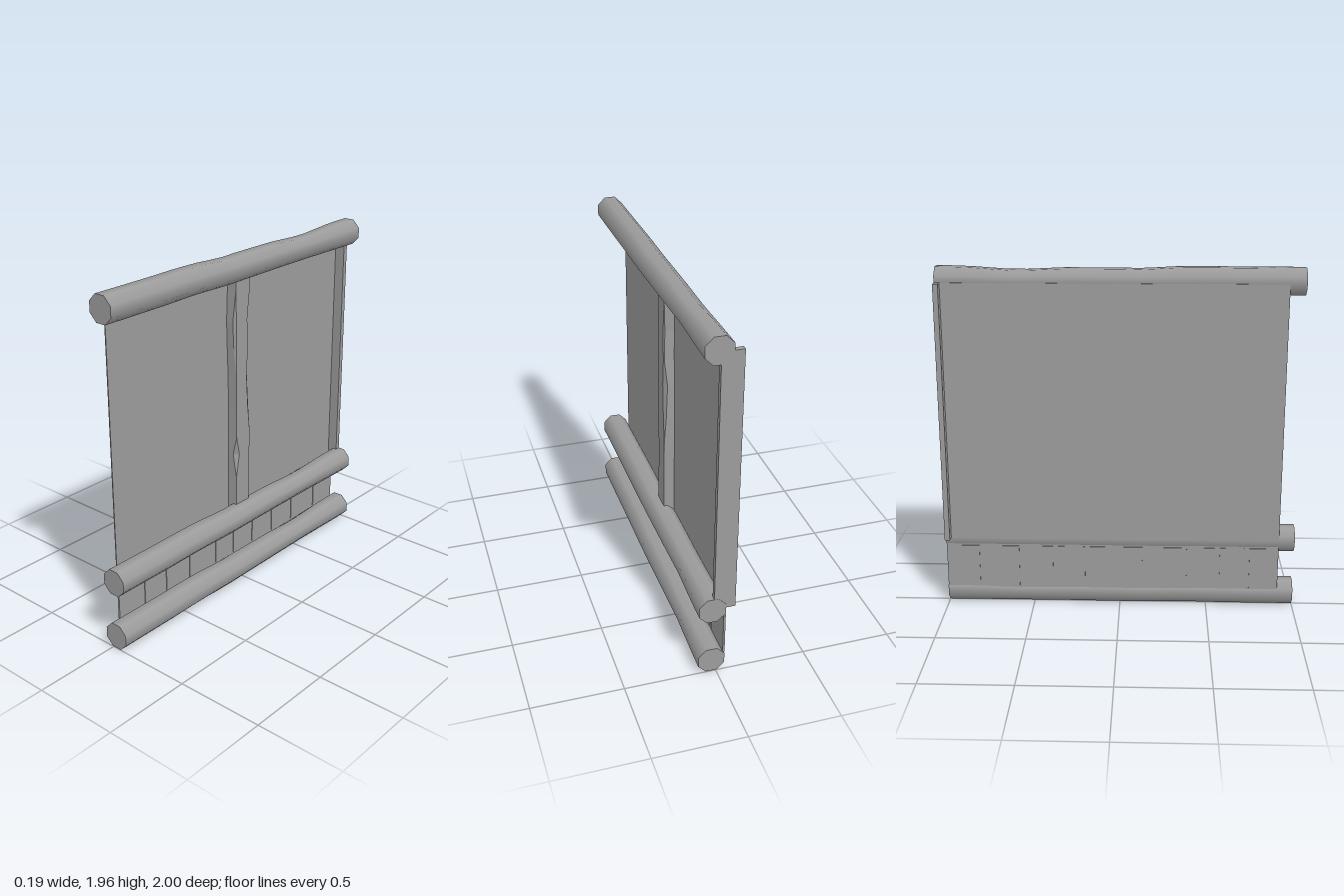
import * as THREE from 'three';

const material = new THREE.MeshStandardMaterial({ color: 0x9c9c9c });
const flatMaterial = new THREE.MeshStandardMaterial({ color: 0x9c9c9c, flatShading: true });

function addBox(parent, name, x0, x1, y0, y1, z0, z1) {
  const mesh = new THREE.Mesh(new THREE.BoxGeometry(x1 - x0, y1 - y0, z1 - z0), material);
  mesh.position.set((x0 + x1) / 2, (y0 + y1) / 2, (z0 + z1) / 2);
  mesh.name = name;
  parent.add(mesh);
}

// Linear interpolation through [z, value] keys sorted by z
function sample(keys, z) {
  for (let i = 1; i < keys.length; i++) {
    const [a, va] = keys[i - 1], [b, vb] = keys[i];
    if (z <= b) return THREE.MathUtils.mapLinear(z, a, b, va, vb);
  }
  return keys[keys.length - 1][1];
}

// Eight-sided log along z with a gently uneven surface
const LOG_TOP = [[-1, 0], [-0.85, -0.001], [-0.56, -0.02], [-0.3, -0.008], [0, -0.008], [0.12, -0.011], [0.3, 0], [0.45, 0.003], [0.65, 0], [1, 0]];
const LOG_BOTTOM = [[-1, 0], [-0.3, 0.001], [0, -0.001], [0.13, -0.003], [0.35, 0.004], [0.6, 0], [1, 0]];
const LOG_SIDE = [[-1, 0], [-0.85, -0.002], [-0.6, -0.009], [-0.3, -0.004], [0, -0.001], [0.3, 0], [1, 0]];
const LOG_HALF = 0.072;

function logGeometry() {
  const r = LOG_HALF / Math.cos(Math.PI / 8);
  const geometry = new THREE.CylinderGeometry(r, r, 2, 8, 20);
  geometry.rotateY(Math.PI / 8).rotateX(Math.PI / 2);
  const p = geometry.attributes.position;
  for (let i = 0; i < p.count; i++) {
    const x = p.getX(i), y = p.getY(i), z = p.getZ(i);
    const up = Math.max(0, y / LOG_HALF), down = Math.max(0, -y / LOG_HALF);
    p.setY(i, y + up * sample(LOG_TOP, z) + down * sample(LOG_BOTTOM, z));
    p.setX(i, x + Math.max(0, x / LOG_HALF) * sample(LOG_SIDE, z));
  }
  return geometry;
}

// Hewn upright lofted from sections whose two outer corners are chipped
function uprightGeometry() {
  const back = -0.046, front = 0.017;
  // y, left z, left chip depth and width, right z, right chip depth and width
  const sections = [
    [0.40, 0.013, 0, 0, -0.1, 0, 0],
    [0.64, 0.01, 0, 0, -0.1, 0, 0],
    [0.78, 0.01, 0.025, 0.025, -0.102, 0, 0],
    [0.89, 0.008, 0, 0, -0.105, 0, 0],
    [1.05, 0.009, 0, 0, -0.104, 0.012, 0.017],
    [1.25, 0.012, 0, 0, -0.1, 0.02, 0.025],
    [1.40, 0.018, 0.012, 0.006, -0.09, 0.004, 0.004],
    [1.57, 0.023, 0.016, 0.012, -0.088, 0.008, 0.009],
    [1.75, 0.016, 0, 0, -0.1, 0, 0],
    [1.88, 0.014, 0, 0, -0.1, 0, 0],
  ];
  const positions = [], index = [], n = 6;
  for (const [y, zl, ld, lw, zr, rd, rw] of sections) {
    const ring = [[back, zl], [front - ld, zl], [front, zl - lw], [front, zr + rw], [front - rd, zr], [back, zr]];
    for (const [x, z] of ring) positions.push(x, y, z);
  }
  for (let s = 0; s < sections.length - 1; s++) {
    for (let i = 0; i < n; i++) {
      const a = s * n + i, b = s * n + (i + 1) % n;
      index.push(a, b, b + n, a, b + n, a + n);
    }
  }
  const top = (sections.length - 1) * n;
  for (let i = 1; i < n - 1; i++) {
    index.push(0, i + 1, i, top, top + i, top + i + 1);
  }
  const geometry = new THREE.BufferGeometry();
  geometry.setAttribute('position', new THREE.Float32BufferAttribute(positions, 3));
  geometry.setIndex(index);
  const flat = geometry.toNonIndexed();
  flat.computeVertexNormals();
  return flat;
}

export function createModel() {
  const model = new THREE.Group();
  model.name = 'wallSection';

  // Three horizontal logs
  const geometry = logGeometry();
  for (const [name, y] of [['bottomLog', 0.075], ['middleLog', 0.403], ['topLog', 1.887]]) {
    const log = new THREE.Mesh(geometry, material);
    log.position.set(0.025, y, 0);
    log.name = name;
    model.add(log);
  }

  // Large wall panel and the post that closes its rear end
  addBox(model, 'wallPanel', -0.049, -0.043, 0.41, 1.88, -0.99, 0.91);
  addBox(model, 'endPost', -0.098, 0.017, 0.41, 1.88, -0.999, -0.97);

  // Chipped upright in the middle
  const upright = new THREE.Mesh(uprightGeometry(), flatMaterial);
  upright.name = 'middleUpright';
  model.add(upright);

  // Row of short boards on a thin backing between the two lower logs
  const skirt = new THREE.Group();
  skirt.name = 'lowerBoards';
  addBox(skirt, 'boardBacking', -0.044, -0.041, 0.08, 0.4, -0.998, 0.908);
  const joints = [-1.013, -0.795, -0.565, -0.37, -0.185, -0.01, 0.145, 0.37, 0.56, 0.73, 0.925];
  for (let i = 0; i < joints.length - 1; i++) {
    addBox(skirt, 'board', -0.048, -0.037, 0.115, 0.36, joints[i] + 0.015, joints[i + 1] - 0.015);
  }
  model.add(skirt);

  return model;
}
